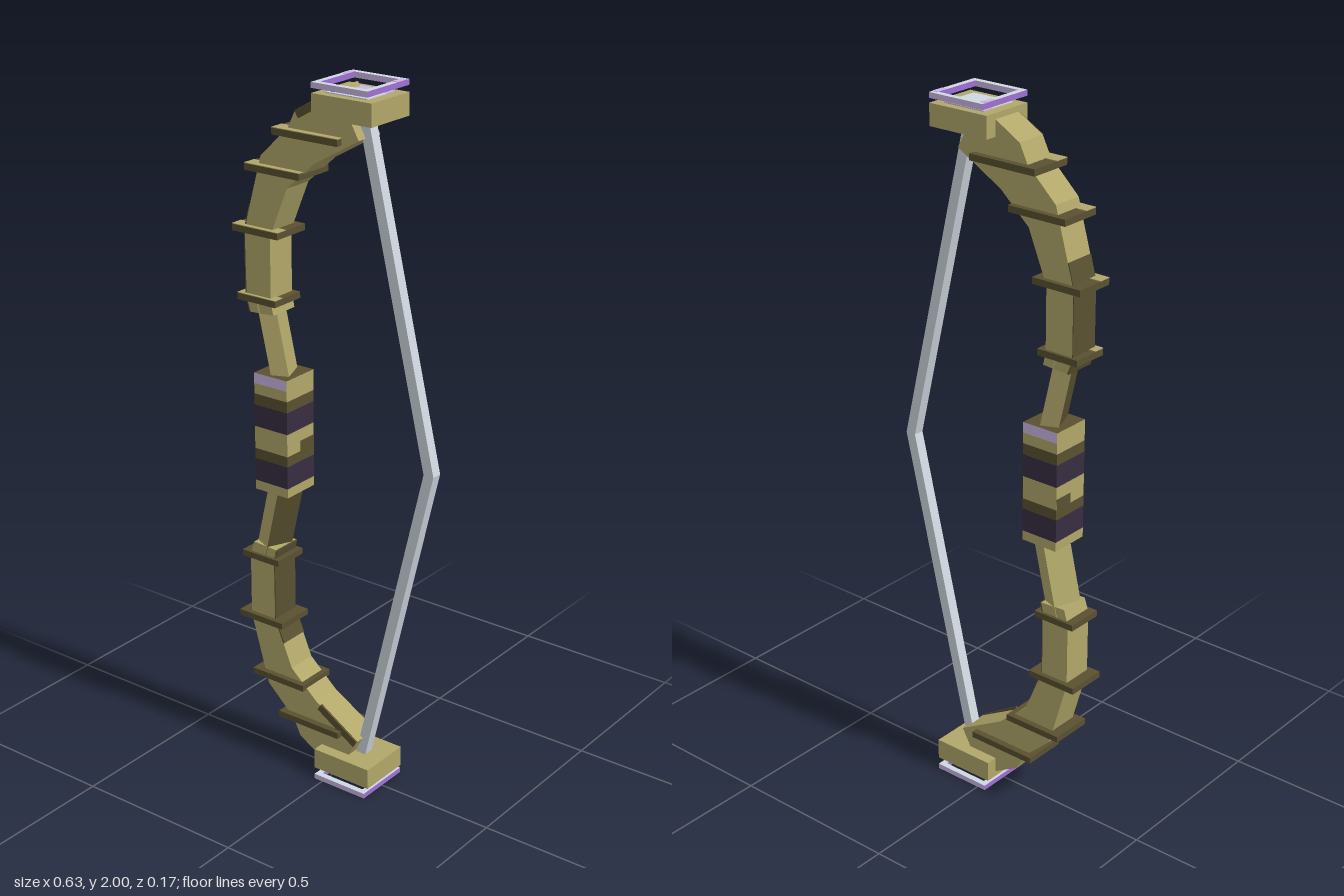
import * as THREE from 'three';

const mat = (name, color) => Object.assign(new THREE.MeshStandardMaterial({ color }), { name });
const olive = mat('olive', 0xb1a76a);
const darkOlive = mat('dark olive', 0x595130);
const silver = mat('silver', 0xd0d8e0);
const lilac = mat('lilac', 0xcbb7e4);
const purple = mat('purple', 0xa070d8);
const deepPurple = mat('deep purple', 0x8856c4);
const plum = mat('dark plum', 0x372e40);

export function createModel() {
  const root = new THREE.Group();
  root.name = 'bow';

  const add = (name, geo, material, x = 0, y = 0, z = 0) => {
    const m = new THREE.Mesh(geo, material);
    m.name = name;
    m.position.set(x, y, z);
    root.add(m);
    return m;
  };
  // box from its ranges on each axis
  const box = (name, material, x0, x1, y0, y1, z0, z1) =>
    add(name, new THREE.BoxGeometry(x1 - x0, y1 - y0, z1 - z0), material,
      (x0 + x1) / 2, (y0 + y1) / 2, (z0 + z1) / 2);
  // box running from a to b in the front plane, twisted about its own length
  const beam = (name, material, a, b, width, depth, twist = 0, z = 0) => {
    const dx = b[0] - a[0], dy = b[1] - a[1];
    const geo = new THREE.BoxGeometry(width, Math.hypot(dx, dy), depth);
    geo.rotateY(twist);
    const m = add(name, geo, material, (a[0] + b[0]) / 2, (a[1] + b[1]) / 2, z);
    m.rotation.z = Math.atan2(-dx, dy);
    return m;
  };

  // striped grip: heights upward, colour of front/back, colour of sides
  const stripes = [
    [0.833, 0.86, olive, olive], [0.86, 0.925, plum, plum], [0.925, 0.955, darkOlive, darkOlive],
    [0.955, 1.02, olive, olive], [1.02, 1.083, plum, plum], [1.083, 1.115, darkOlive, darkOlive],
    [1.115, 1.145, olive, olive], [1.145, 1.175, lilac, olive],
  ];
  stripes.forEach(([y0, y1, face, side]) =>
    box('gripStripe', [side, side, darkOlive, darkOlive, face, face], -0.249, -0.137, y0, y1, -0.058, 0.058));
  // stepped wrap on the grip sides
  for (const x of [-0.25, -0.138]) box('gripStep', darkOlive, x, x + 0.002, 0.955, 0.985, -0.057, 0);

  // curved limb edges, upper half
  const outer = [[-0.27, 1.34], [-0.283, 1.38], [-0.283, 1.57], [-0.225, 1.775], [-0.135, 1.86],
    [-0.11, 1.91], [0.02, 1.985]];
  const inner = [[0.09, 1.86], [-0.05, 1.78], [-0.14, 1.7], [-0.198, 1.56], [-0.198, 1.38], [-0.19, 1.345]];
  // bands: x range, height, half depth
  const bands = [[-0.305, -0.177, 1.38, 0.054], [-0.315, -0.163, 1.57, 0.059],
    [-0.267, -0.087, 1.742, 0.062], [-0.173, 0.037, 1.85, 0.064]];

  for (const up of [true, false]) {
    const side = up ? 'upper' : 'lower';
    const fy = y => (up ? y : 2 - y);
    const fp = ([x, y]) => [x, fy(y)];
    const span = (name, m, x0, x1, y0, y1, z0, z1) =>
      box(side + name, m, x0, x1, Math.min(fy(y0), fy(y1)), Math.max(fy(y0), fy(y1)), z0, z1);

    // main limb
    const shape = new THREE.Shape([...outer, ...inner].map(p => new THREE.Vector2(...fp(p))));
    const limb = new THREE.ExtrudeGeometry(shape, { depth: 0.09, bevelEnabled: false });
    limb.translate(0, 0, -0.045);
    add(side + 'Limb', limb, olive);

    // twisted root of the limb, dark outside above and inside below
    beam(side + 'LimbRoot', [olive, darkOlive, olive, olive, olive, olive],
      fp([-0.186, 1.15]), fp([-0.24, 1.385]), 0.05, 0.08, 0.38);

    // dark facing: outside of the upper limb, inside of the lower one
    const facing = up ? [[-0.27, 1.34], [-0.283, 1.38], [-0.283, 1.57], [-0.265, 1.635]]
      : [[-0.19, 1.345], [-0.198, 1.38], [-0.198, 1.56], [-0.168, 1.63]];
    for (let i = 0; i < 3; i++)
      beam(side + 'LimbFacing', darkOlive, fp(facing[i]), fp(facing[i + 1]), 0.004, 0.09);

    // dark strip near the tip
    const strip = up ? [[-0.105, 1.9], [0.02, 1.97]] : [[-0.04, 1.79], [0.085, 1.868]];
    beam(side + 'TipStrip', darkOlive, fp(strip[0]), fp(strip[1]), 0.022, 0.006, 0, 0.045);

    // bands round the limb
    for (const [x0, x1, y, d] of bands) {
      span('Band', darkOlive, x0, x1, y - 0.009, y + 0.009, -d, d);
      if (up) span('BandPatch', olive, x0, x1, y + 0.009, y + 0.011, 0.022, d);
    }

    // end block with an inset plate
    span('EndBlock', olive, -0.033, 0.154, 1.91, 1.97, -0.079, 0.079);
    if (up) {
      span('EndPlate', silver, -0.004, 0.124, 1.97, 1.973, -0.022, 0.056);
      span('EndPlateStripe', lilac, -0.004, 0.124, 1.97, 1.973, -0.056, -0.022);
    } else span('EndPlate', deepPurple, -0.01, 0.13, 1.97, 1.973, -0.07, 0.07);

    // floating square frame
    const frame = [purple, purple, silver, deepPurple, lilac, lilac];
    for (const z of [-0.087, 0.07]) span('FrameBar', frame, -0.027, 0.147, 1.985, 2, z, z + 0.017);
    for (const x of [-0.027, 0.13]) {
      span('FrameBar', frame, x, x + 0.017, 1.985, 2, -0.07, 0.07);
      if (up) span('FramePatch', lilac, x, x + 0.017, 2, 2.001, -0.075, -0.037);
    }

    // half of the drawn string, slanted so that both halves meet at the middle
    const string = new THREE.BoxGeometry(0.031, 0.91, 0.031);
    const p = string.attributes.position;
    for (let i = 0; i < p.count; i++) {
      const atTip = p.getY(i) > 0 === up;
      p.setX(i, p.getX(i) + (atTip ? 0.083 : 0.297));
      p.setY(i, fy(atTip ? 1.91 : 1));
    }
    string.computeVertexNormals();
    add(side + 'String', string, silver);
  }
  return root;
}
